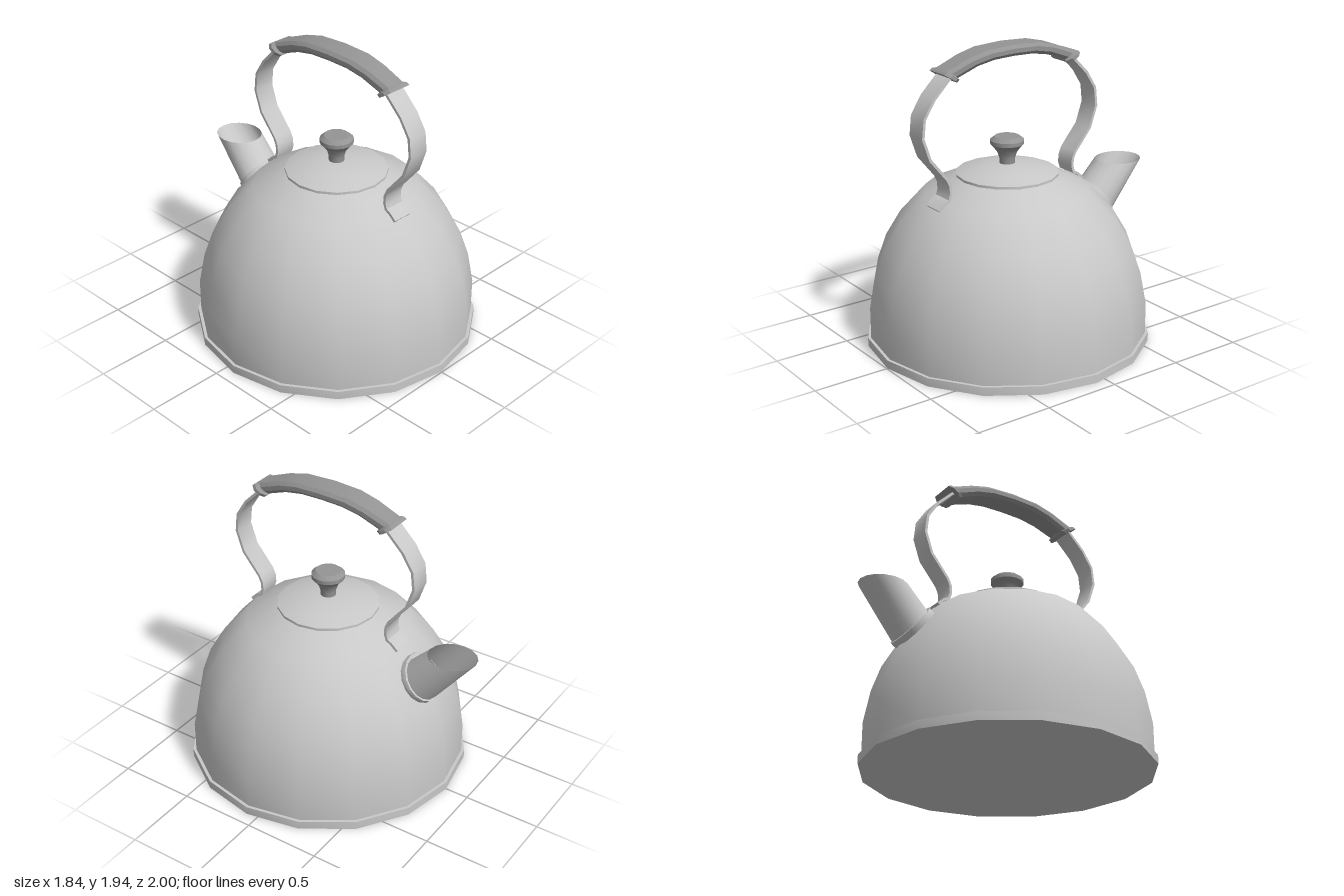
import * as THREE from 'three';
import { toCreasedNormals } from 'three/addons/utils/BufferGeometryUtils.js';

const SIDES = 16;

// Skins rings along a path. Ring: centre [y, z], half-height vector [y, z], half-width in x.
function loft(rings, section, caps = true) {
  const point = (r, [u, v]) => [u * r.w, r.c[0] + v * r.h[0], r.c[1] + v * r.h[1]];
  const pos = [];
  const n = section.length;
  const tri = (...pts) => pts.forEach((p) => pos.push(...p));
  for (let i = 0; i < rings.length - 1; i++) {
    for (let j = 0; j < n; j++) {
      const s = section[j], t = section[(j + 1) % n];
      const a = point(rings[i], s), b = point(rings[i], t);
      const c = point(rings[i + 1], t), d = point(rings[i + 1], s);
      tri(a, b, c);
      tri(a, c, d);
    }
  }
  if (caps) {
    const first = section.map((s) => point(rings[0], s));
    const last = section.map((s) => point(rings[rings.length - 1], s));
    for (let j = 1; j < n - 1; j++) {
      tri(first[0], first[j + 1], first[j]);
      tri(last[0], last[j], last[j + 1]);
    }
  }
  const g = new THREE.BufferGeometry();
  g.setAttribute('position', new THREE.Float32BufferAttribute(pos, 3));
  return toCreasedNormals(g, 0.6);
}

function lathe(profile, crease = 0.6) {
  const g = new THREE.LatheGeometry(profile.map(([x, y]) => new THREE.Vector2(x, y)), SIDES);
  return toCreasedNormals(g, crease);
}

// Ring spanning a top and a bottom point, both given as [z, y]
const span = (top, bottom, w) => ({
  c: [(top[1] + bottom[1]) / 2, (top[0] + bottom[0]) / 2],
  h: [(top[1] - bottom[1]) / 2, (top[0] - bottom[0]) / 2],
  w,
});

// Mirrors rings from +z to -z, giving a full run from back to front
function mirrorRings(half) {
  const back = half.filter((r) => r.c[1] > 0.001).map((r) => ({ c: [r.c[0], -r.c[1]], h: [r.h[0], -r.h[1]], w: r.w }));
  return [...back.reverse(), ...half];
}

export function createModel() {
  const metal = new THREE.MeshStandardMaterial({ color: 0xc8c8c8, side: THREE.DoubleSide });
  metal.name = 'light grey metal';
  const dark = new THREE.MeshStandardMaterial({ color: 0x949494 });
  dark.name = 'dark grey grip';

  const kettle = new THREE.Group();
  kettle.name = 'kettle';
  const pot = new THREE.Group();
  pot.name = 'pot';
  pot.position.z = 0.075;
  kettle.add(pot);
  const add = (parent, name, geometry, material) => {
    const mesh = new THREE.Mesh(geometry, material);
    mesh.name = name;
    parent.add(mesh);
    return mesh;
  };

  // Base plate and domed body
  add(pot, 'base', lathe([[0, 0], [0.92, 0], [0.92, 0.055], [0.88, 0.055]]), metal);
  add(pot, 'body', lathe([[0.9, 0.05], [0.9, 0.26], [0.86, 0.47], [0.8, 0.64],
    [0.7, 0.81], [0.53, 1.0], [0.32, 1.095]]), metal);

  // Lid with knob
  add(pot, 'lid', lathe([[0.31, 1.09], [0.328, 1.097], [0.328, 1.113], [0.24, 1.143],
    [0.12, 1.168], [0, 1.17]]), metal);
  add(pot, 'knob', lathe([[0.05, 1.16], [0.05, 1.2], [0.062, 1.24], [0.085, 1.272], [0.108, 1.295],
    [0.108, 1.32], [0.08, 1.343], [0, 1.343]]), dark);

  // Bent strap, given as [z, y] from the foot up to the middle
  const half = [[0.56, 0.975], [0.515, 1.015], [0.485, 1.03], [0.472, 1.07], [0.475, 1.12],
    [0.495, 1.165], [0.615, 1.31], [0.663, 1.45], [0.65, 1.57], [0.58, 1.68], [0.47, 1.79],
    [0.3, 1.87], [0, 1.9]];
  const path = [...half.map(([z, y]) => [-z, y]), ...half.slice(0, -1).reverse()];
  const strapRings = path.map((p, i) => {
    const a = path[Math.max(i - 1, 0)], b = path[Math.min(i + 1, path.length - 1)];
    const dz = b[0] - a[0], dy = b[1] - a[1];
    const k = 0.009 / Math.hypot(dz, dy);
    return { c: [p[1], p[0]], h: [dz * k, -dy * k], w: 0.07 };
  });
  add(pot, 'handleStrap', loft(strapRings, [[1, -1], [1, 1], [-1, 1], [-1, -1]]), metal);

  // Chamfered grip with a flange at each end
  const octagon = [[1, -0.4], [1, 0.4], [0.78, 1], [-0.78, 1], [-1, 0.4], [-1, -0.4], [-0.78, -1], [0.78, -1]];
  const gripRings = mirrorRings([
    span([0, 1.937], [0, 1.868], 0.092),
    span([0.195, 1.928], [0.145, 1.863], 0.09),
    span([0.325, 1.897], [0.265, 1.84], 0.085),
    span([0.475, 1.84], [0.405, 1.787], 0.078),
    span([0.495, 1.836], [0.405, 1.78], 0.102),
    span([0.512, 1.823], [0.425, 1.766], 0.105),
  ]);
  add(pot, 'handleGrip', loft(gripRings, octagon), dark);

  // Slanted spout with a level mouth and a collar at its root
  const circle = Array.from({ length: SIDES }, (_, i) => {
    const a = (i / SIDES) * Math.PI * 2;
    return [Math.cos(a), Math.sin(a)];
  });
  add(kettle, 'spout', loft([
    { c: [0.79, -0.635], h: [-0.11, -0.088], w: 0.15 },
    { c: [1.03, -0.84], h: [0, -0.16], w: 0.143 },
  ], circle, false), metal);
  add(kettle, 'spoutCollar', loft([
    { c: [0.785, -0.61], h: [-0.128, -0.096], w: 0.16 },
    { c: [0.797, -0.626], h: [-0.128, -0.096], w: 0.165 },
    { c: [0.81, -0.643], h: [-0.128, -0.096], w: 0.162 },
    { c: [0.81, -0.643], h: [-0.11, -0.088], w: 0.145 },
  ], circle, false), metal);

  return kettle;
}
